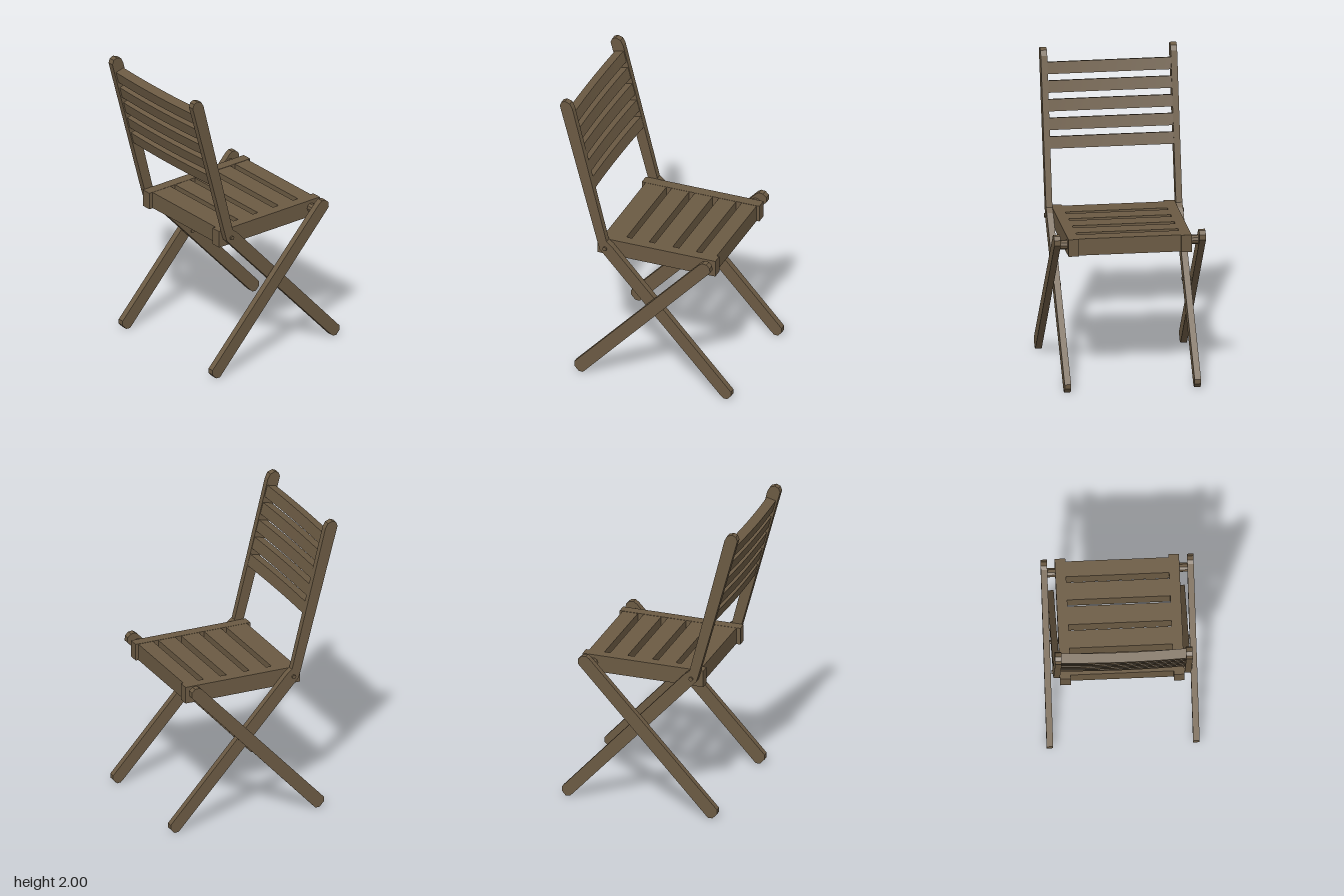
import * as THREE from 'three';

const wood = new THREE.MeshStandardMaterial({ color: 0x6b5a43 });
wood.name = 'brownWood';

// Side outlines as [z, y]
const FRAME = [
  [0.603, 1.96], [0.592, 1.988], [0.567, 2.0], [0.533, 1.988], [0.515, 1.955],
  [0.274, 0.998], [0.24, 0.972], [-0.602, 0.06], [-0.602, 0.03], [-0.575, 0],
  [-0.548, 0.002], [-0.53, 0.018], [0.322, 0.93], [0.337, 0.98],
];
const LEG = [
  [-0.398, 1.01], [-0.42, 1.025], [-0.45, 1.022], [-0.473, 1.0], [-0.475, 0.966],
  [0.408, 0.012], [0.42, 0], [0.45, 0.002], [0.48, 0.035], [0.48, 0.066],
];

// Extrude a side outline between two x positions
function plank(outline, x0, x1) {
  const shape = new THREE.Shape(outline.map(([z, y]) => new THREE.Vector2(-z, y)));
  const geo = new THREE.ExtrudeGeometry(shape, { depth: x1 - x0, bevelEnabled: false });
  return geo.rotateY(Math.PI / 2).translate(x0, 0, 0);
}

export function createModel() {
  const group = new THREE.Group();
  const add = (name, geo, x = 0, y = 0, z = 0) => {
    const mesh = new THREE.Mesh(geo, wood);
    mesh.name = name;
    mesh.position.set(x, y, z);
    group.add(mesh);
    return mesh;
  };

  for (const s of [1, -1]) {
    const side = s > 0 ? 'left' : 'right';
    const span = (a, b) => (s > 0 ? [a, b] : [-b, -a]);

    // Bent back post with its leg, and the outer crossing leg
    add(side + 'BackPost', plank(FRAME, ...span(0.405, 0.447)));
    add(side + 'OuterLeg', plank(LEG, ...span(0.455, 0.497)));

    // Seat side rail, very slightly tilted
    const rail = [[0.354, 0.878], [-0.474, 0.888], [-0.474, 1.003], [0.354, 0.992]].reverse();
    add(side + 'SeatRail', plank(rail, ...span(0.335, 0.404)));

    // Pivot pegs joining seat, posts and legs
    for (const [name, z, y, r] of [['SeatPeg', -0.4, 0.95, 0.031], ['PostPin', 0.285, 0.945, 0.014], ['CrossPin', -0.055, 0.58, 0.014]]) {
      const peg = new THREE.CylinderGeometry(r, r, 0.06, 10).toNonIndexed();
      peg.computeVertexNormals();
      add(side + name, peg.rotateZ(Math.PI / 2), s * 0.428, y, z);
    }
  }

  // Seat slats, from one end to the other
  for (const [z0, z1] of [[-0.455, -0.35], [-0.31, -0.19], [-0.145, -0.02], [0.02, 0.142], [0.18, 0.327]]) {
    const z = (z0 + z1) / 2;
    const slat = add('seatSlat', new THREE.BoxGeometry(0.68, 0.112, z1 - z0), 0, 0.939 - z * 0.012, z);
    slat.rotation.x = 0.012;
  }

  // Gently bowed backrest slats, leaning with the posts
  const lean = Math.atan(0.2635);
  for (let i = 0; i < 5; i++) {
    const geo = new THREE.BoxGeometry(0.82, 0.079, 0.064, 12, 1, 1);
    const p = geo.attributes.position;
    for (let j = 0; j < p.count; j++) {
      p.setZ(j, p.getZ(j) + 0.01 * (1 - (p.getX(j) / 0.41) ** 2));
    }
    geo.computeVertexNormals();
    const y = 1.867 - i * 0.1172;
    const slat = add('backSlat', geo, 0, y, 0.304 + (y - 1) * 0.2635);
    slat.rotation.x = lean;
  }
  return group;
}
